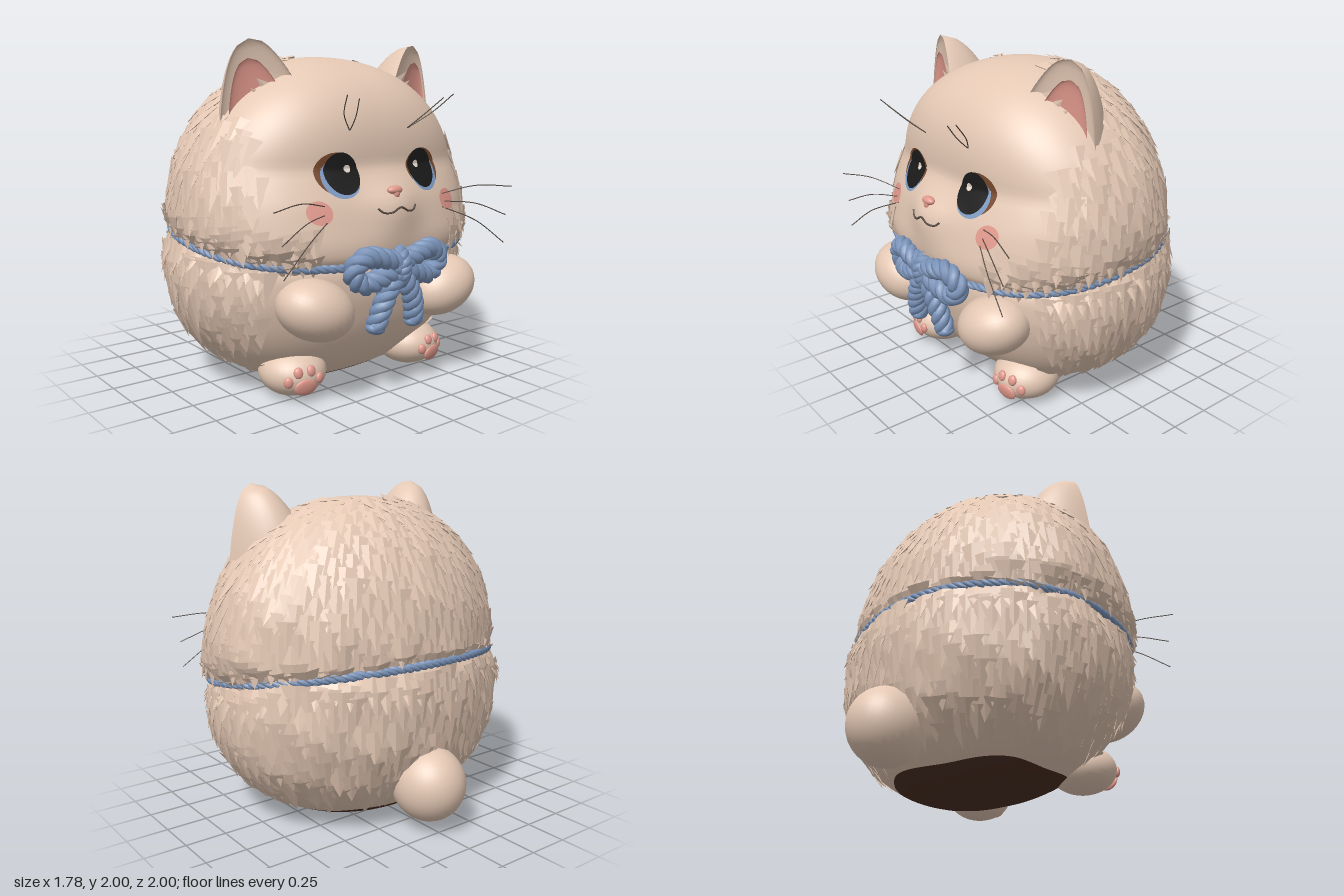
import * as THREE from 'three';
import { mergeGeometries, mergeVertices } from 'three/addons/utils/BufferGeometryUtils.js';
import { ParametricGeometry } from 'three/addons/geometries/ParametricGeometry.js';

const colour = (name, color) => Object.assign(new THREE.MeshStandardMaterial({ color }), { name });
const V = (x, y, z) => new THREE.Vector3(x, y, z);
const clamp = THREE.MathUtils.clamp;

export function createModel() {
  const fur = colour('cream fur', 0xe4c8b4), blue = colour('blue rope', 0x7b94ba);
  const pink = colour('pink skin', 0xe0988c), black = colour('pupil black', 0x1a1a1b);
  const brown = colour('base brown', 0x4a2f22), rim = colour('eyelid brown', 0x75472c);
  const iris = colour('iris blue', 0x7f9cc4), shine = colour('eye shine', 0xeadbd0);
  const dark = colour('whisker grey', 0x5a4e46);

  // The cat is built facing +z, then turned to face +x
  const cat = new THREE.Group();
  cat.name = 'cat';
  const add = (name, geo, mat, parent = cat) => {
    const m = new THREE.Mesh(geo, mat);
    m.name = name;
    parent.add(m);
    return m;
  };
  let seed = 7;
  const rand = () => (seed = (seed * 16807) % 2147483647) / 2147483647;

  // Rounded masses: t is the angle round the body, a the latitude
  const head = {
    yc: 1.0, up: 0.92, down: 0.29, pUp: 2.1, pDown: 2.4, w: 0.96, zc: 0.04, back: 0.68,
    front: y => 0.65 + 0.13 * clamp((1.3 - y) / 0.4, 0, 1) + 0.16 * clamp((y - 1.3) / 0.5, 0, 1),
    tilt: y => clamp((1.1 - y) / 0.25, 0, 1),
  };
  const body = {
    yc: 0.72, up: 0.35, down: 0.77, pUp: 2.6, pDown: 2.15, w: 0.96, zc: 0.02, back: 0.735,
    front: () => 0.71, tilt: y => clamp((y - 0.5) / 0.4, 0, 1),
  };
  // The plan is round behind and squarer in front
  const N = 2.5;
  const frontDepth = s => (1 - Math.min(1, Math.abs(s)) ** N) ** (1 / N);
  const plan = t => Math.cos(t) > 0 ? frontDepth(Math.sin(t)) : Math.cos(t);
  const muzzle = (x, y) => 0.07 * Math.exp(-((x / 0.18) ** 2) - ((y - 1.1) / 0.12) ** 2);
  const at = (s, t, a, out = V(0, 0, 0)) => {
    const p = a > 0 ? s.pUp : s.pDown, c = plan(t);
    const y = s.yc + Math.sign(a) * Math.abs(Math.sin(a)) ** (2 / p) * (a > 0 ? s.up : s.down);
    const lump = 1 + 0.01 * Math.sin(9 * t + 5 * a) * Math.sin(13 * a - 4 * t) * clamp(0.5 - Math.cos(t), 0, 1) * Math.cos(a);
    const f = Math.max(0, Math.cos(a)) ** (2 / p) * lump;
    const x = s.w * f * Math.sin(t);
    const z = s.zc + (c > 0 ? s.front(y) : s.back) * f * c;
    const bump = s === head && c > 0 ? muzzle(x, y) : 0;
    return out.set(x, Math.max(0, y - 0.13 * z * s.tilt(y)), z + bump);
  };
  const mass = (s, lo, hi, rows) => {
    const g = new ParametricGeometry((u, v, o) => {
      const t = u * Math.PI * 2;
      at(s, t, THREE.MathUtils.lerp(lo(t), hi(t), v), o);
    }, 128, rows);
    g.deleteAttribute('normal');
    g.deleteAttribute('uv');
    const m = mergeVertices(g, 1e-5);
    m.computeVertexNormals();
    return m;
  };
  const south = () => -Math.PI / 2, north = () => Math.PI / 2;
  const baseEdge = t => -0.99 - 0.06 * Math.cos(t) + 0.02 * Math.sin(5 * t);
  add('head', mass(head, south, north, 84), fur);
  add('body', mass(body, baseEdge, north, 60), fur);
  add('base', mass(body, south, baseEdge, 12), brown);

  // Fur: flattened spikes lying down the surface
  const tuftGeo = (pos, dir, n, size) => {
    const g = new THREE.ConeGeometry(0.07 * size, 0.16 * size, 5, 1, true).toNonIndexed();
    g.scale(1, 1, 0.28);
    const x = dir.clone().cross(n).normalize(), z = x.clone().cross(dir);
    g.applyMatrix4(new THREE.Matrix4().makeBasis(x, dir, z).setPosition(pos.clone().addScaledVector(dir, 0.025)));
    g.computeVertexNormals();
    return g;
  };
  const coat = (name, s, count, lo, hi, skip) => {
    const list = [];
    for (let i = 0; i < count; i++) {
      const t = i * 2.39996, a = Math.asin(THREE.MathUtils.lerp(Math.sin(lo), Math.sin(hi), (i + rand()) / count));
      const p = at(s, t, a);
      if (skip(p)) continue;
      const dir = at(s, t, a - 0.04).sub(p).normalize();
      const n = at(s, t + 0.04, a).sub(p).cross(dir.clone().negate()).normalize();
      dir.addScaledVector(n, 0.04 + 0.14 * rand()).normalize();
      list.push(tuftGeo(p, dir, n, 0.75 + 0.55 * rand()));
    }
    add(name, mergeGeometries(list), fur);
  };
  coat('headFur', head, 800, -0.5, 1.4, p => {
    const x = Math.abs(p.x), fringe = p.y < 0.95 && x > 0.5;
    return p.z > 0.33 && x < 0.74 && !fringe || p.z > 0.1 && p.y > 1.55;
  });
  coat('bodyFur', body, 580, -0.85, 0.3, p => p.z > 0.4 && Math.abs(p.x) < 0.72 || p.y < 0.17);

  const blob = (name, mat, pos, radii, rot = [0, 0, 0]) => {
    const m = add(name, new THREE.SphereGeometry(1, 32, 20), mat);
    m.position.set(...pos);
    m.scale.set(...radii);
    m.rotation.set(...rot);
  };
  const tube = (name, pts, r) =>
    add(name, new THREE.TubeGeometry(new THREE.CatmullRomCurve3(pts), pts.length * 6, r, 6), dark);

  // Thin plates that follow the face
  const faceZ = (x, y) => {
    const f = (1 - (Math.abs(y - head.yc) / head.up) ** head.pUp) ** (1 / head.pUp);
    return head.zc + head.front(y) * f * frontDepth(x / head.w / f) + muzzle(x, y);
  };
  const patch = (name, mat, cx, cy, rx, ry, lift) => {
    const g = new THREE.RingGeometry(0, 1, 32, 5), p = g.attributes.position;
    for (let i = 0; i < p.count; i++) {
      const x = cx + p.getX(i) * rx, y = cy + p.getY(i) * ry;
      p.setXYZ(i, x, y, faceZ(x, y) + lift);
    }
    g.computeVertexNormals();
    add(name, g, mat);
  };

  // Nose and mouth
  const noseZ = faceZ(0, 1.17);
  blob('nose', pink, [0, 1.175, noseZ], [0.052, 0.025, 0.03]);
  blob('noseTip', pink, [0, 1.155, noseZ + 0.006], [0.025, 0.03, 0.024]);
  // The face drops a little below the eyes, so the mouth sits just proud of it
  tube('mouth', [[-0.14, 1.085], [-0.11, 1.062], [-0.06, 1.06], [0, 1.085], [0.06, 1.06], [0.11, 1.062], [0.14, 1.085]]
    .map(([x, y]) => V(x, y, faceZ(x, y))), 0.006);

  // Ear: a blunt cone with a hollow front and a full back
  const earGeo = (size, lift, ...arc) => {
    const g = new THREE.ConeGeometry(1, 1, 32, 20, true, ...arc), p = g.attributes.position;
    for (let i = 0; i < p.count; i++) {
      const s = p.getY(i) + 0.5, k = Math.max(1 - s, 1e-4);
      const c = p.getZ(i) / k, w = k ** 0.47 * size;
      p.setXYZ(i, p.getX(i) / k * 0.285 * w, s * 0.52 * (0.3 + 0.7 * size), c * w * (c > 0 ? -0.07 : 0.43) + lift);
    }
    g.computeVertexNormals();
    return g;
  };

  for (const s of [-1, 1]) {
    const side = s > 0 ? 'left' : 'right';
    // Eyes and cheeks
    patch(side + 'EyeRim', rim, s * 0.317, 1.275, 0.137, 0.114, 0.003);
    patch(side + 'Iris', iris, s * 0.308, 1.252, 0.116, 0.107, 0.007);
    patch(side + 'Pupil', black, s * 0.294, 1.277, 0.108, 0.112, 0.011);
    patch(side + 'EyeShine', shine, s * 0.257, 1.3, 0.021, 0.021, 0.015);
    patch(side + 'Cheek', pink, s * 0.475, 1.08, 0.072, 0.062, 0.006);

    // Whiskers and brow hairs
    for (const [x0, y0, x1, y1] of [[0.42, 1.11, 0.88, 1.14], [0.43, 1.07, 0.83, 0.97], [0.42, 1.04, 0.82, 0.8]]) {
      const z = faceZ(x0, y0);
      tube(side + 'Whisker', [V(s * x0, y0, z - 0.01), V(s * (x0 + x1) / 2, (y0 + y1) / 2 + 0.03, z + 0.08), V(s * x1, y1, 0.87)], 0.003);
    }
    for (const [x1, y1] of [[0.39, 1.7], [0.31, 1.68]])
      tube(side + 'BrowHair', [V(s * 0.21, 1.5, faceZ(0.21, 1.5) - 0.01), V(s * (x1 - 0.06), y1 - 0.1, 0.73), V(s * x1, y1, 0.83)], 0.003);

    // Ears
    const ear = new THREE.Group();
    ear.name = side + 'Ear';
    ear.position.set(s * 0.53, 1.49, 0.32);
    ear.rotation.set(-0.06, s * 0.32, s * -0.18);
    add('earShell', earGeo(1, 0), fur, ear);
    add('innerEar', earGeo(0.72, 0.004, -Math.PI / 2, Math.PI), pink, ear).position.x = s * 0.03;
    for (let i = 0; i < 4; i++)
      add('earTuft', tuftGeo(V(s * (-0.1 + 0.04 * i), 0.27 - 0.04 * i, -0.03), V(s * 0.55, 0.75 - 0.1 * i, 0.2).normalize(), V(0, 0, 1), 0.9), fur, ear);
    cat.add(ear);

    // Front paws
    blob(side + 'FrontPaw', fur, [s * 0.475, 0.55, 0.67], [0.235, 0.17, 0.2], [0, 0, s * 0.35]);

    // Feet with pads on the sole
    const c = [s * 0.45, 0.14, 0.42], r = [0.195, 0.14, 0.2];
    blob(side + 'Foot', fur, c, r);
    for (const [x, y, a, b] of [[0.49, 0.095, 0.068, 0.05], [0.58, 0.13, 0.027, 0.032], [0.53, 0.182, 0.027, 0.032], [0.455, 0.185, 0.027, 0.032], [0.4, 0.135, 0.027, 0.032]]) {
      const q = Math.sqrt(1 - ((x - 0.45) / r[0]) ** 2 - ((y - c[1]) / r[1]) ** 2);
      blob(side + 'PawPad', pink, [s * x, y, c[2] + r[2] * q], [a, b, 0.018], [-(y - c[1]) * 5, s * (x - 0.45) * 4, 0]);
    }
  }

  // Tail
  blob('tail', fur, [0, 0.28, -0.65], [0.215, 0.225, 0.23], [0.3, 0, 0]);

  // Twisted rope: three strands winding round a path
  const rope = (name, pts, r, twists, closed = false) => {
    const path = new THREE.CatmullRomCurve3(pts, closed), n = twists * 8;
    const fr = path.computeFrenetFrames(n, closed), list = [];
    for (let k = 0; k < 3; k++) {
      const strand = [];
      for (let i = 0; i < n + (closed ? 0 : 1); i++) {
        const a = i / n * twists * Math.PI * 2 + k * Math.PI * 2 / 3;
        strand.push(path.getPointAt(i / n).addScaledVector(fr.normals[i], Math.cos(a) * r * 0.5)
          .addScaledVector(fr.binormals[i], Math.sin(a) * r * 0.5));
      }
      list.push(new THREE.TubeGeometry(new THREE.CatmullRomCurve3(strand, closed), n * 2, r * 0.58, 8, closed));
    }
    add(name, mergeGeometries(list), blue);
  };
  const ring = [];
  for (let i = 0; i < 48; i++) {
    const t = i / 48 * Math.PI * 2, c = plan(t), z = 0.025 + (c > 0 ? 0.745 : 0.68) * c;
    ring.push(V(0.925 * Math.sin(t), 0.895 - 0.16 * z, z));
  }
  rope('collar', ring, 0.026, 36, true);

  // Bow
  for (const s of [-1, 1]) {
    const side = s > 0 ? 'left' : 'right';
    rope(side + 'BowLoop', [[0, 0.77, 0.82], [0.12, 0.81, 0.83], [0.25, 0.83, 0.82], [0.32, 0.76, 0.8], [0.25, 0.68, 0.8], [0.12, 0.71, 0.82], [0, 0.755, 0.82]]
      .map(([x, y, z]) => V(s * x, y, z)), 0.058, 4);
    rope(side + 'BowEnd', [V(0, 0.73, 0.82), V(s * 0.07, 0.64, 0.82), V(s * 0.12, 0.53, 0.81), V(s * 0.145, 0.42, 0.79)], 0.058, 2);
    blob(side + 'BowTip', blue, [s * 0.147, 0.415, 0.79], [0.058, 0.035, 0.053], [0, 0, s * 0.2]);
  }
  rope('bowKnot', [V(0, 0.83, 0.8), V(0, 0.79, 0.835), V(0, 0.72, 0.835), V(0, 0.68, 0.8)], 0.055, 2);

  cat.rotation.y = Math.PI / 2;
  const model = new THREE.Group();
  model.name = 'fluffyCat';
  model.add(cat);
  return model;
}
